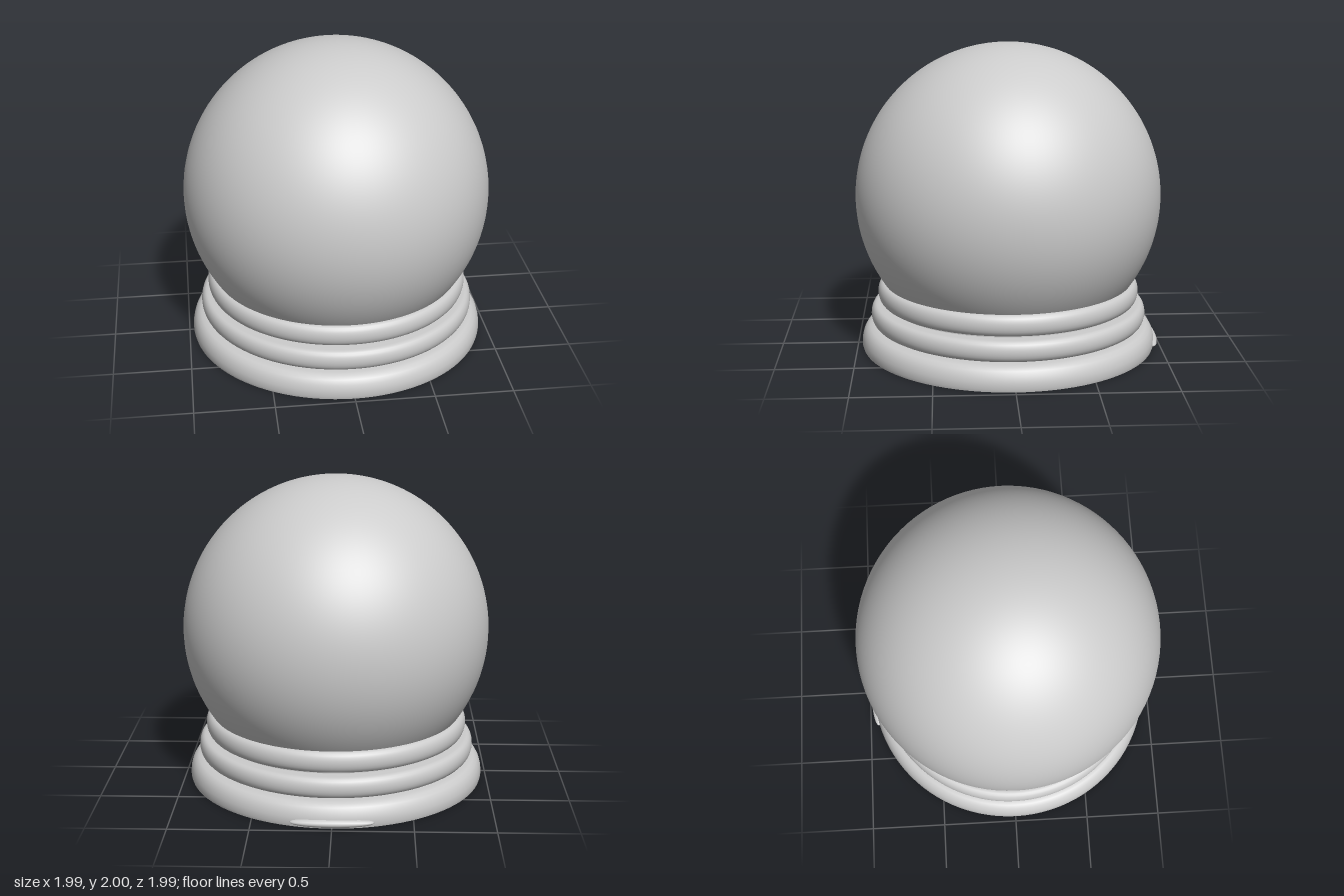
import * as THREE from 'three';
import { toCreasedNormals } from 'three/addons/utils/BufferGeometryUtils.js';

const SEGMENTS = 96;

export function createModel() {
  const group = new THREE.Group();
  const material = new THREE.MeshStandardMaterial({ color: 0xcccccc });

  function add(name, geometry) {
    const mesh = new THREE.Mesh(geometry, material);
    mesh.name = name;
    group.add(mesh);
    return mesh;
  }

  // Turned part from [radius, height] pairs, listed from bottom to top
  function turned(name, profile) {
    const points = profile.map(([r, y]) => new THREE.Vector2(r, y));
    return add(name, toCreasedNormals(new THREE.LatheGeometry(points, SEGMENTS), 0.7));
  }

  // Globe: a ball cut off where it sits inside the top ring
  const radius = 0.994;
  const globe = add('globe', new THREE.SphereGeometry(radius, SEGMENTS, 56, 0, Math.PI * 2, 0, 2.24));
  globe.position.y = 2 - radius;

  // Foot: broad disc with a rounded shoulder and a flat underside
  turned('foot', [
    [0, 0], [0.965, 0], [0.971, 0.02], [0.969, 0.06], [0.96, 0.095],
    [0.943, 0.125], [0.92, 0.143], [0.89, 0.15], [0.8, 0.152],
  ]);

  // Two stacked cushion rings with narrow grooves between them
  const rings = [
    { name: 'middleRing', outer: 0.908, bottom: 0.158, top: 0.292 },
    { name: 'topRing', outer: 0.86, bottom: 0.305, top: 0.442 },
  ];
  for (const { name, outer, bottom, top } of rings) {
    const half = (top - bottom) / 2;
    const profile = [[0.78, bottom]];
    for (let i = 0; i <= 12; i++) {
      const a = -Math.PI / 2 + (Math.PI * i) / 12;
      profile.push([
        outer - 0.05 + 0.05 * Math.pow(Math.max(0, Math.cos(a)), 0.8),
        bottom + half + half * Math.sin(a),
      ]);
    }
    profile.push([0.78, top]);
    turned(name, profile);
  }

  // Core that closes the grooves
  turned('core', [[0.81, 0.14], [0.8, 0.32]]);

  // Small lip at the back of the foot
  const lip = add('backLip', new THREE.SphereGeometry(1, 32, 16));
  lip.scale.set(0.26, 0.03, 0.05);
  lip.position.set(0, 0.031, -0.942);

  return group;
}
